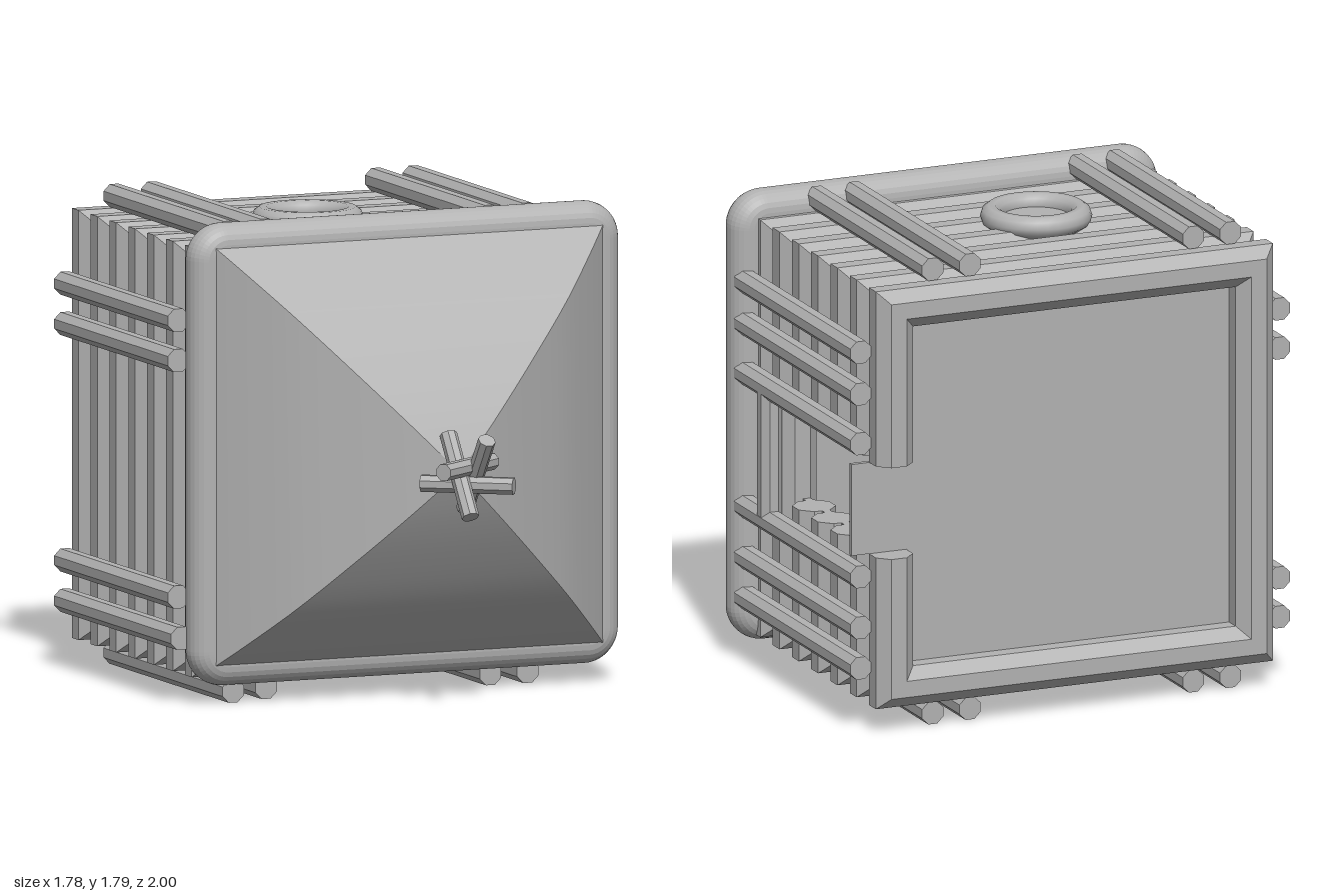
import * as THREE from 'three';

export function createModel() {
  const model = new THREE.Group();
  model.name = 'logHut';
  const grey = new THREE.MeshStandardMaterial({ color: 0xb2b2b2 });
  grey.name = 'plain grey';
  const faceted = (g) => {
    const f = g.index ? g.toNonIndexed() : g;
    f.computeVertexNormals();
    return f;
  };
  const add = (name, geometry, x = 0, y = 0, z = 0) => {
    const mesh = new THREE.Mesh(geometry, grey);
    mesh.name = name;
    mesh.position.set(x, y, z);
    model.add(mesh);
    return mesh;
  };
  const box = (name, x0, x1, y0, y1, z0, z1) =>
    add(name, new THREE.BoxGeometry(x1 - x0, y1 - y0, z1 - z0), (x0 + x1) / 2, (y0 + y1) / 2, (z0 + z1) / 2);
  // eight-sided log along y, flats facing the axes
  const logGeo = (r, length) =>
    faceted(new THREE.CylinderGeometry(r, r, length, 8).rotateY(Math.PI / 8));

  const MID = 0.9, H = 0.725, DOOR = [0.68, 1.03];

  // square wall course of octagonal log with mitred corners, optionally cut for the doorway
  function course(cut) {
    const profile = [];
    for (let i = 0; i < 8; i++) {
      const a = (i + 0.5) * Math.PI / 4;
      profile.push([0.081 * Math.cos(a), 0.081 * Math.sin(a)]);
    }
    const at = (sx, sy) => profile.map(([u, v]) => [sx * (H + u), sy * (H + u), v]);
    const end = (y) => profile.map(([u, v]) => [H + u, y - MID, v]);
    const loops = [at(1, 1), at(-1, 1), at(-1, -1), at(1, -1)];
    if (cut) {
      loops.unshift(end(DOOR[1]));
      loops.push(end(DOOR[0]));
    } else loops.push(loops[0]);
    const p = [];
    for (let i = 0; i < loops.length - 1; i++) {
      for (let j = 0; j < 8; j++) {
        const k = (j + 1) % 8, a = loops[i], b = loops[i + 1];
        p.push(...a[j], ...b[j], ...b[k], ...a[j], ...b[k], ...a[k]);
      }
    }
    if (cut) {
      const s = loops[0], e = loops[loops.length - 1];
      for (let j = 1; j < 7; j++) p.push(...s[0], ...s[j], ...s[j + 1], ...e[0], ...e[j + 1], ...e[j]);
    }
    const g = new THREE.BufferGeometry();
    g.setAttribute('position', new THREE.Float32BufferAttribute(p, 3));
    g.computeVertexNormals();
    return g;
  }
  for (let i = 0; i < 7; i++) add('wallCourse', course(i < 5), 0, MID, -0.92 + i * 0.175);

  // hollow inner room with a doorway on the +x side
  const T = 0.03, Z0 = -0.89, Z1 = 0.2;
  box('floor', -H, H, MID - H, MID + H, Z0, Z0 + 0.02);
  box('doorstep', H - 0.02, 0.87, DOOR[0], DOOR[1], Z0, Z0 + 0.02);
  box('innerWall', -H, H, MID + H - T, MID + H, Z0, Z1);
  box('innerWall', -H, H, MID - H, MID - H + T, Z0, Z1);
  box('innerWall', -H, -H + T, MID - H, MID + H, Z0, Z1);
  box('doorWall', H - T, H, DOOR[1], MID + H, Z0, Z1);
  box('doorWall', H - T, H, MID - H, DOOR[0], Z0, Z1);
  box('doorWall', H - T, H, DOOR[0], DOOR[1], -0.12, Z1);

  // outer support logs running along z
  const support = (x, y, front = 0.15) => {
    const length = front + 0.905;
    add('supportLog', logGeo(0.046, length), x, y, front - length / 2).rotation.x = Math.PI / 2;
  };
  for (const x of [-0.65, -0.5, 0.4, 0.55]) {
    support(x, 1.745);
    support(x, 0.045, x === -0.65 ? 0.2 : 0.16);
  }
  for (const y of [0.25, 0.4, 1.28, 1.43]) support(-0.848, y, y < 0.3 ? 0.18 : 0.15);
  for (const y of [0.25, 0.405, 0.6, 1.11, 1.3, 1.46]) support(0.84, y);
  add('doorPost', logGeo(0.046, 0.48), 0.84, 0.86, -0.075);

  // round window
  add('windowFrame', new THREE.TorusGeometry(0.165, 0.042, 10, 32).rotateX(Math.PI / 2), -0.135, 1.715, -0.3);
  add('windowPane', new THREE.CylinderGeometry(0.14, 0.14, 0.04, 32), -0.135, 1.69, -0.3);

  // rounded roof rim
  const R = 0.785, c = 0.06, rim = new THREE.Shape();
  rim.absarc(R - c, R - c, c, 0, Math.PI / 2);
  rim.absarc(c - R, R - c, c, Math.PI / 2, Math.PI);
  rim.absarc(c - R, c - R, c, Math.PI, Math.PI * 1.5);
  rim.absarc(R - c, c - R, c, Math.PI * 1.5, Math.PI * 2);
  add('roofRim', new THREE.ExtrudeGeometry(rim, {
    depth: 0.01, bevelThickness: 0.07, bevelSize: 0.075, bevelSegments: 6, curveSegments: 6,
  }), 0.03, 0.93, 0.187);

  // bulging four-sided roof, each side smooth along its slope
  const slope = new THREE.SplineCurve([[0.8, 0.24], [0.7, 0.345], [0.54, 0.49], [0.345, 0.62], [0.17, 0.72], [0.001, 0.8]]
    .map(([h, z]) => new THREE.Vector2(h, z))).getPoints(16);
  for (let s = 0; s < 4; s++) {
    const pos = [], idx = [];
    slope.forEach(({ x: h, y: z }, i) => {
      const shift = 0.03 * h / 0.8;
      for (const e of [-1, 1]) {
        const a = (s * 2 + e) * Math.PI / 4, d = h * Math.SQRT2;
        pos.push(d * Math.cos(a) + shift, d * Math.sin(a) + MID + shift, z);
      }
      if (i) {
        const k = 2 * i;
        idx.push(k - 2, k - 1, k + 1, k - 2, k + 1, k);
      }
    });
    const g = new THREE.BufferGeometry();
    g.setAttribute('position', new THREE.Float32BufferAttribute(pos, 3));
    g.setIndex(idx);
    g.computeVertexNormals();
    add('roofSide', g);
  }

  // crossed sticks at the roof tip
  const tilt = 0.63, stick = logGeo(0.033, 0.35);
  for (const s of [-1, 1]) {
    add('tipStick', stick, s * 0.033, 0.9, 0.873).rotation.x = s * tilt;
    add('tipStick', stick, 0, 0.898 + s * 0.033, 0.873).rotation.set(0, s * tilt, Math.PI / 2);
  }
  return model;
}
